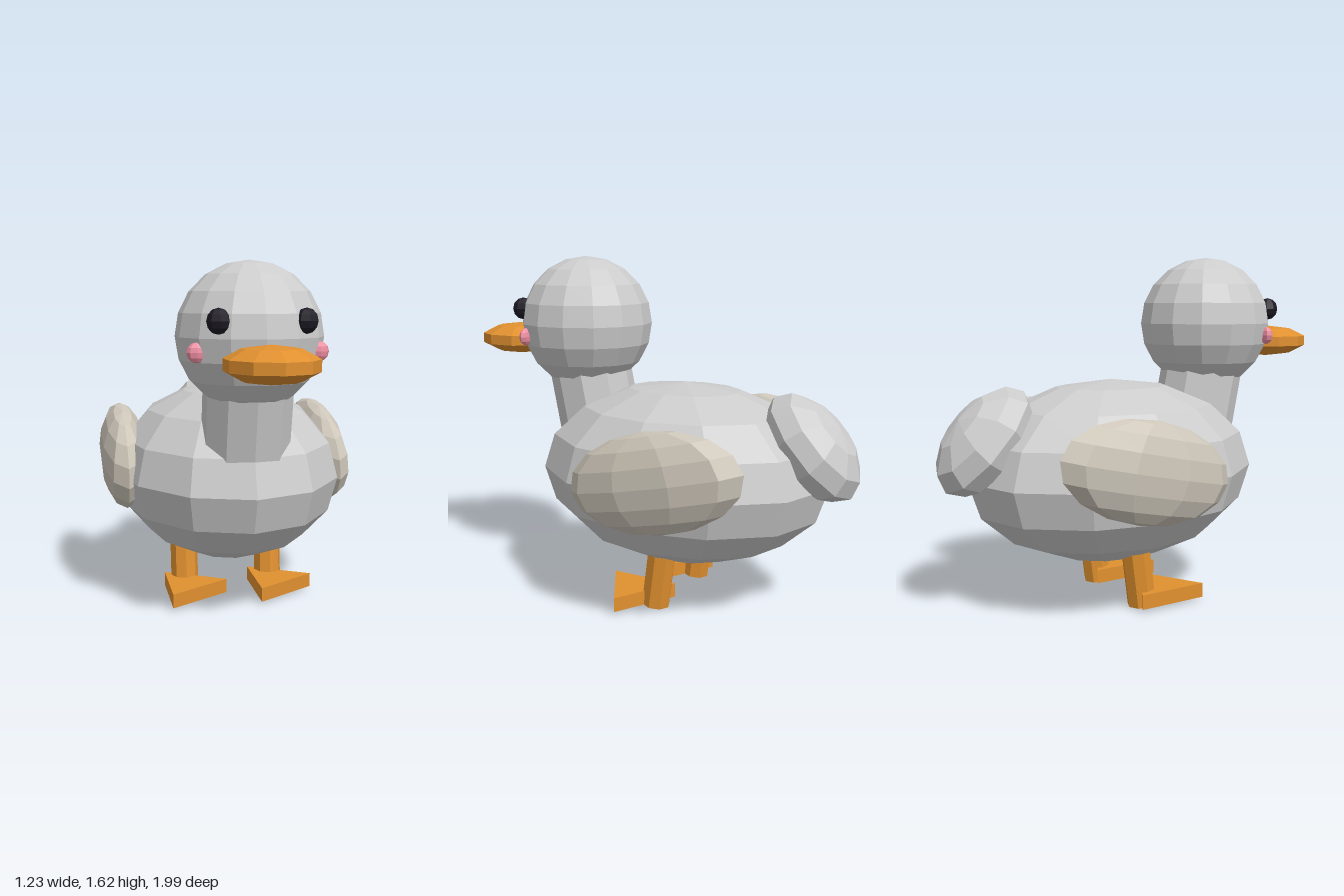
import * as THREE from 'three';

const mat = (color) => new THREE.MeshStandardMaterial({ color, flatShading: true });

export function createModel() {
  const group = new THREE.Group();
  const grey = mat(0xcccccc);
  const cream = mat(0xcdc6b9);
  const orange = mat(0xe0902f);
  const pink = mat(0xee8fa2);
  const dark = mat(0x1d1a24);

  function add(name, geometry, material, [x, y, z], tilt = 0) {
    const mesh = new THREE.Mesh(geometry, material);
    mesh.name = name;
    mesh.position.set(x, y, z);
    mesh.rotation.x = tilt;
    group.add(mesh);
    return mesh;
  }

  // Faceted ellipsoid with a meridian facing straight to the front
  function ellipsoid(rx, ry, rz, across, up) {
    return new THREE.SphereGeometry(1, across, up).rotateY(Math.PI / 2).scale(rx, ry, rz);
  }

  // Body, neck, head
  add('body', ellipsoid(0.545, 0.425, 0.715, 12, 8), grey, [0, 0.62, -0.15]);
  add('neck', new THREE.CylinderGeometry(0.2, 0.2, 0.56, 10), grey, [0, 0.87, 0.33], 0.2);
  add('head', ellipsoid(0.32, 0.32, 0.32, 14, 10), grey, [0, 1.3, 0.39]);

  // Flattened tail, leaning back and up
  add('tail', ellipsoid(0.21, 0.16, 0.28, 10, 6), grey, [0, 0.8, -0.78], -0.85);

  // Flat rounded bill
  add('bill', ellipsoid(0.2, 0.078, 0.22, 10, 5), orange, [0, 1.207, 0.785]);

  for (const [side, s] of [['left', 1], ['right', -1]]) {
    add(side + 'Wing', ellipsoid(0.115, 0.225, 0.425, 10, 8), cream, [s * 0.505, 0.69, -0.255], 0.22);
    add(side + 'Eye', ellipsoid(0.05, 0.053, 0.05, 8, 6), dark, [s * 0.18, 1.37, 0.64]);
    add(side + 'Cheek', ellipsoid(0.042, 0.042, 0.026, 8, 6), pink, [s * 0.257, 1.243, 0.57]);

    // Leg leaning slightly, with a three-cornered foot pointing the same way on both sides
    add(side + 'Leg', new THREE.CylinderGeometry(0.068, 0.068, 0.26, 8), orange, [s * 0.215, 0.137, -0.13], -0.13);
    add(side + 'Foot', new THREE.CylinderGeometry(0.193, 0.193, 0.068, 3, 1, false, Math.PI / 2), orange,
      [s * 0.215, 0.047, 0]);
  }
  return group;
}
